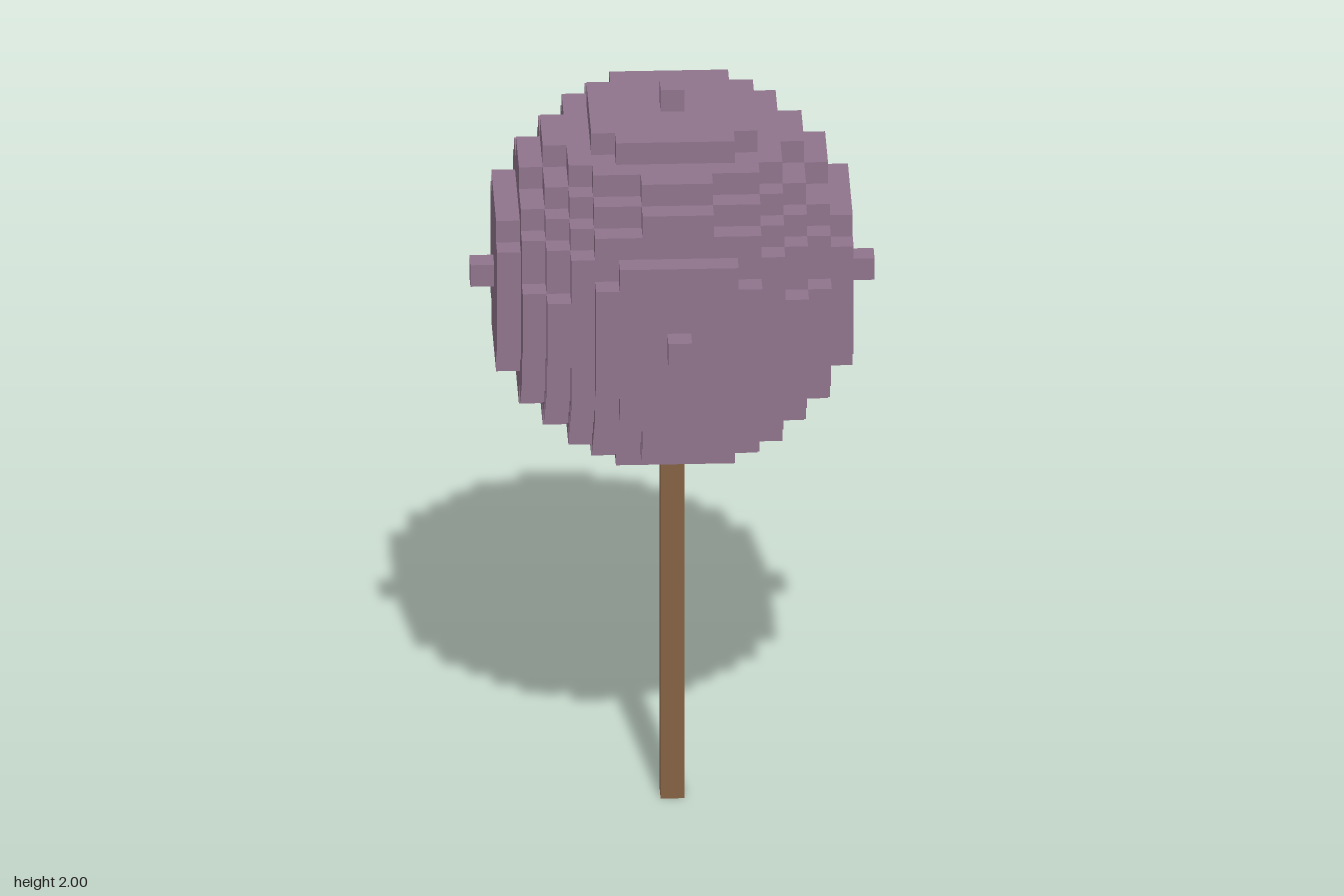
import * as THREE from 'three';
import { mergeGeometries } from 'three/addons/utils/BufferGeometryUtils.js';

const CELL = 2 / 33;     // edge of one block; the model is 33 blocks tall
const RADIUS = 8;        // ball radius in blocks
const STICK_BLOCKS = 16; // stick height in blocks

// One side of the blocky ball, facing +z: a square per column at its outermost block
function ballSide() {
  const squares = [];
  for (let u = -RADIUS; u <= RADIUS; u++) {
    for (let v = -RADIUS; v <= RADIUS; v++) {
      const rest = RADIUS * RADIUS - u * u - v * v;
      if (rest < 0) continue;
      const depth = Math.floor(Math.sqrt(rest)) + 0.5;
      squares.push(new THREE.PlaneGeometry(1, 1).translate(u, v, depth));
    }
  }
  return mergeGeometries(squares);
}

// The same side turned to all six directions closes the ball
function ballGeometry() {
  const side = ballSide();
  const sides = [];
  for (let q = 0; q < 4; q++) sides.push(side.clone().rotateY(q * Math.PI / 2));
  for (const s of [-1, 1]) sides.push(side.clone().rotateX(s * Math.PI / 2));
  return mergeGeometries(sides).scale(CELL, CELL, CELL);
}

export function createModel() {
  const group = new THREE.Group();
  group.name = 'ballOnStick';

  // Blocky ball
  const ball = new THREE.Mesh(
    ballGeometry(),
    new THREE.MeshStandardMaterial({ color: 0x8f748c })
  );
  ball.name = 'ball';
  ball.position.y = (STICK_BLOCKS + RADIUS + 0.5) * CELL;

  // Square stick
  const height = STICK_BLOCKS * CELL;
  const stick = new THREE.Mesh(
    new THREE.BoxGeometry(CELL, height, CELL),
    new THREE.MeshStandardMaterial({ color: 0x856144 })
  );
  stick.name = 'stick';
  stick.position.y = height / 2;

  group.add(ball, stick);
  return group;
}
